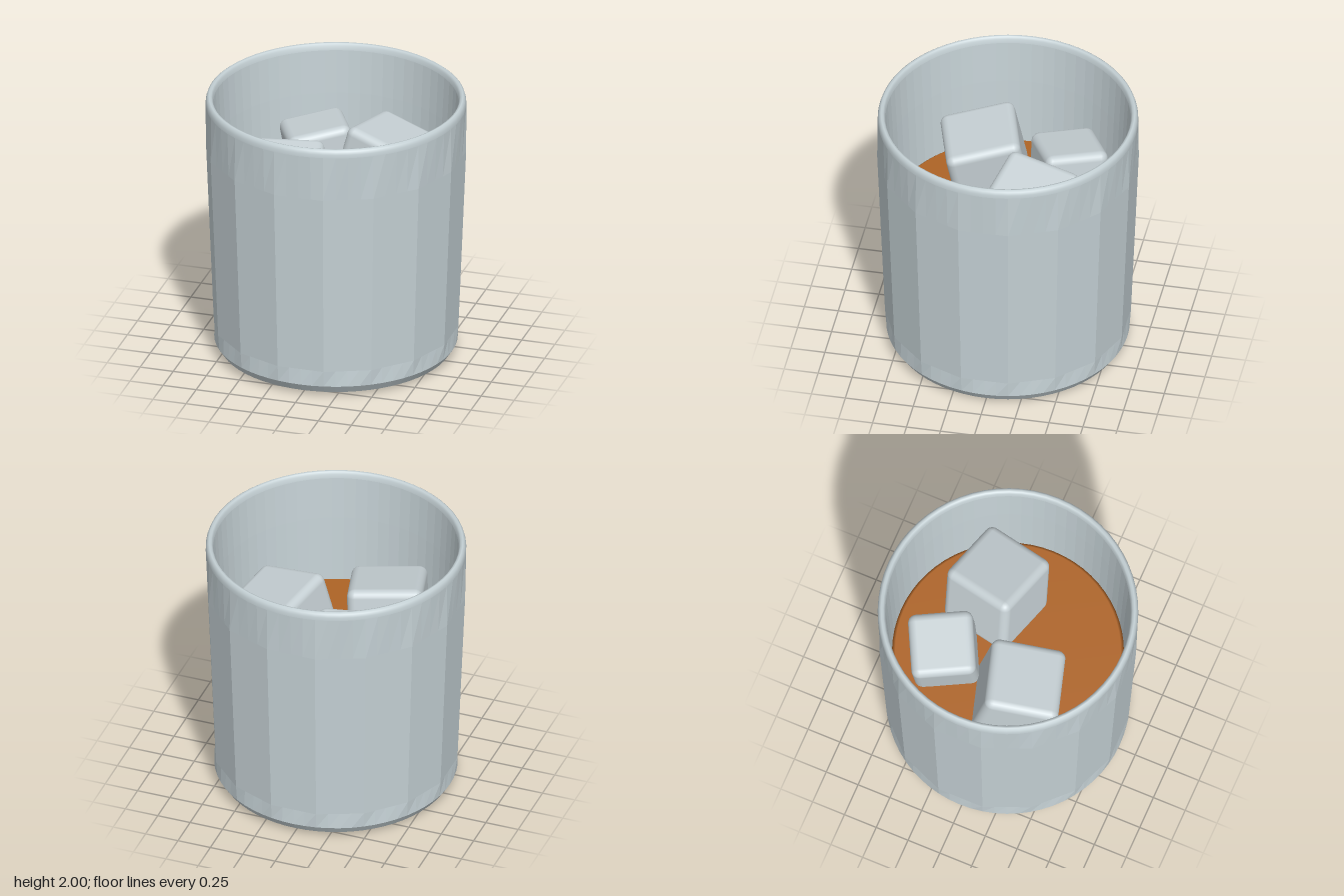
import * as THREE from 'three';
import { RoundedBoxGeometry } from 'three/addons/geometries/RoundedBoxGeometry.js';

const SEGMENTS = 64;
const FACETS = 16;

// Ring-by-ring shell. Each row is [y, radius, facet]: facet 0 is a circle,
// facet 1 a 16-sided polygon with that apothem.
function facetedShell(rows) {
  const positions = [];
  const index = [];
  const step = (Math.PI * 2) / FACETS;
  rows.forEach(([y, radius, facet]) => {
    for (let j = 0; j <= SEGMENTS; j++) {
      const angle = (j / SEGMENTS) * Math.PI * 2;
      const offset = angle - Math.round(angle / step) * step;
      const r = radius * (1 + facet * (1 / Math.cos(offset) - 1));
      positions.push(r * Math.sin(angle), y, r * Math.cos(angle));
    }
  });
  const width = SEGMENTS + 1;
  for (let i = 0; i < rows.length - 1; i++) {
    for (let j = 0; j < SEGMENTS; j++) {
      const a = i * width + j;
      const d = a + width;
      index.push(a, a + 1, d + 1, a, d + 1, d);
    }
  }
  const geometry = new THREE.BufferGeometry();
  geometry.setAttribute('position', new THREE.Float32BufferAttribute(positions, 3));
  geometry.setIndex(index);
  const flat = geometry.toNonIndexed();
  flat.computeVertexNormals();
  return flat;
}

function lathe(points) {
  return new THREE.LatheGeometry(points.map(([r, y]) => new THREE.Vector2(r, y)), SEGMENTS);
}

export function createModel() {
  const group = new THREE.Group();
  const glass = new THREE.MeshStandardMaterial({ color: 0xc5d1d5 });
  glass.name = 'glass';
  const ice = new THREE.MeshStandardMaterial({ color: 0xc5cfd3 });
  ice.name = 'ice';
  const amber = new THREE.MeshStandardMaterial({ color: 0xae6426 });
  amber.name = 'amber liquid';

  const add = (name, geometry, material) => {
    const mesh = new THREE.Mesh(geometry, material);
    mesh.name = name;
    group.add(mesh);
    return mesh;
  };

  // Outer wall: round foot, flat-cut sides, blending to a round top
  add('outerWall', facetedShell([
    [0, 0.73, 0], [0.03, 0.84, 0], [0.09, 0.88, 0],
    [0.21, 0.872, 1], [1.6, 0.927, 1], [1.94, 0.942, 0],
  ]), glass);

  // Rolled rim
  add('rim', lathe([
    [0.942, 1.94], [0.941, 1.965], [0.933, 1.988], [0.918, 2],
    [0.902, 1.996], [0.891, 1.98], [0.886, 1.95],
  ]), glass);

  // Inner wall and floor
  add('innerWall', facetedShell([
    [1.95, 0.886, 0], [1.62, 0.868, 0], [0.3, 0.81, 0], [0.22, 0.74, 0],
  ]), glass);
  const floor = add('innerFloor', new THREE.CircleGeometry(0.74, SEGMENTS), glass);
  floor.rotation.x = -Math.PI / 2;
  floor.position.y = 0.22;
  const base = add('base', new THREE.CircleGeometry(0.73, SEGMENTS), glass);
  base.rotation.x = Math.PI / 2;

  // Drink, with a slightly softened surface edge
  add('liquid', lathe([
    [0, 0.23], [0.73, 0.23], [0.8, 0.31], [0.838, 1.1], [0.815, 1.12], [0, 1.12],
  ]), amber);

  // Ice cubes: size, position, rotation (pitch, yaw, roll)
  const cubes = [
    [0.47, [-0.245, 1.34, -0.4], [-0.08, 0.46, 0.17]],
    [0.56, [0.325, 1.38, -0.225], [-0.12, -0.23, -0.23]],
    [0.55, [-0.32, 1.31, 0.22], [0.21, 0.28, -0.05]],
  ];
  cubes.forEach(([size, position, [pitch, yaw, roll]], i) => {
    const cube = add(`iceCube${i + 1}`, new RoundedBoxGeometry(size, size, size, 3, 0.06), ice);
    cube.position.set(...position);
    cube.rotation.set(pitch, yaw, roll, 'YXZ');
  });

  return group;
}
